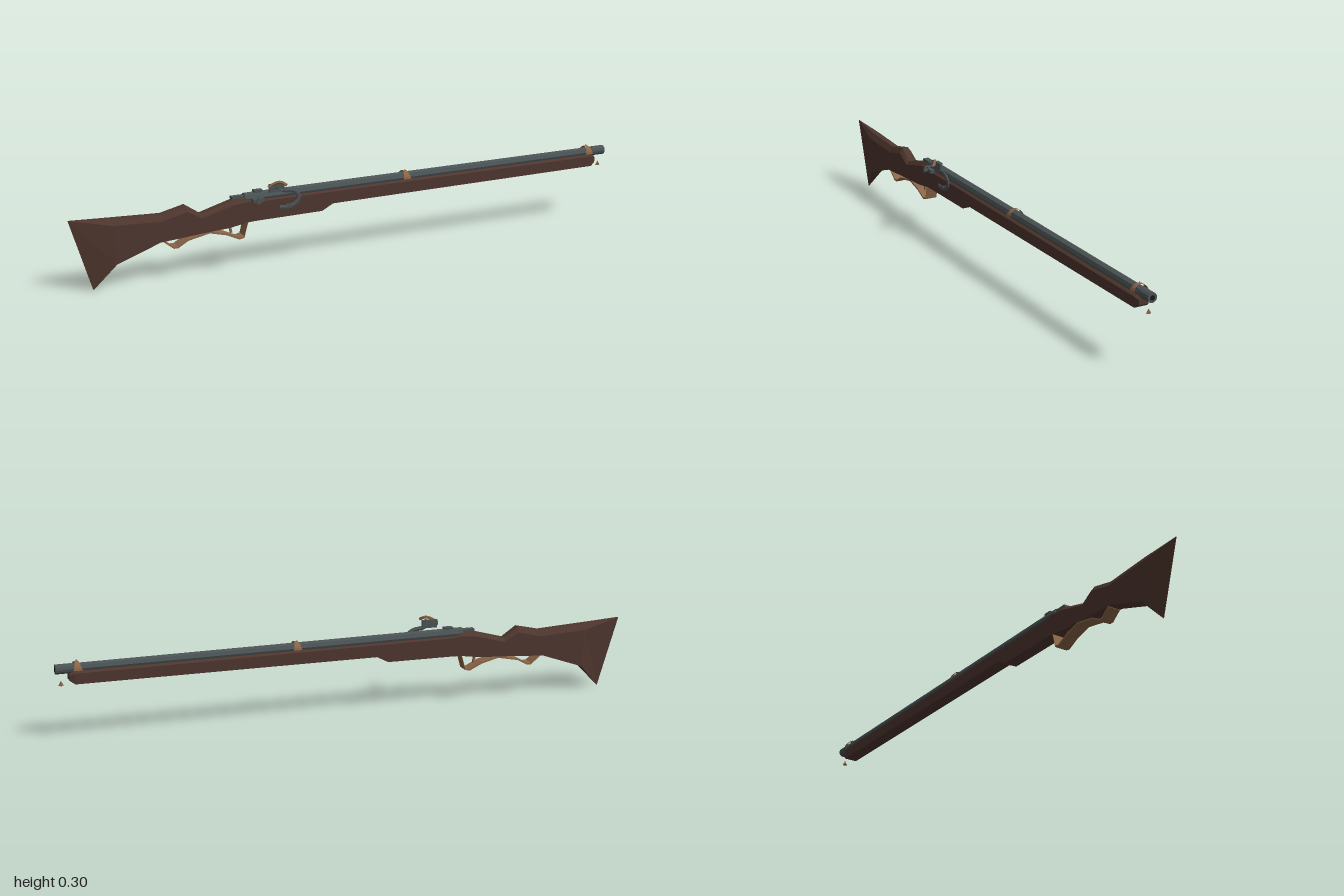
import * as THREE from 'three';

const CZ = -0.028; // centre plane of the gun
const mat = (color) => new THREE.MeshStandardMaterial({ color, flatShading: true });
const wood = mat(0x4e362e), steel = mat(0x4b5254), brass = mat(0x8c6648);
brass.side = THREE.DoubleSide;

// Lofts closed rings (lists of [x, y, z]) ordered along +x, with capped ends
function loft(rings) {
  const n = rings[0].length, idx = [];
  for (let i = 0; i < rings.length - 1; i++) {
    for (let j = 0; j < n; j++) {
      const a = i * n + j, b = i * n + (j + 1) % n;
      idx.push(a, b, b + n, a, b + n, a + n);
    }
  }
  const last = (rings.length - 1) * n;
  for (let j = 1; j < n - 1; j++) idx.push(0, j + 1, j, last, last + j, last + j + 1);
  const g = new THREE.BufferGeometry();
  g.setAttribute('position', new THREE.Float32BufferAttribute(rings.flat(2), 3));
  g.setIndex(idx);
  const flat = g.toNonIndexed();
  flat.computeVertexNormals();
  return flat;
}

export function createModel() {
  const root = new THREE.Group();
  const add = (name, geo, material, x = 0, y = 0, z = 0, parent = root) => {
    const m = new THREE.Mesh(geo, material);
    m.name = name;
    m.position.set(x, y, z);
    parent.add(m);
    return m;
  };
  const alongX = (r1, r2, len, sides) => new THREE.CylinderGeometry(r1, r2, len, sides).rotateZ(-Math.PI / 2);
  const alongZ = (r1, r2, len, sides) => new THREE.CylinderGeometry(r1, r2, len, sides).rotateX(Math.PI / 2);

  // Stock stations: top x, top y, bottom x, bottom y, half width, top chamfer
  const stations = [
    [-1.0, 0.246, -0.925, 0.003, 0.001, 0.001],
    [-0.86, 0.236, -0.85, 0.085, 0.023, 0.02],
    [-0.69, 0.228, -0.70, 0.138, 0.023, 0.02],
    [-0.607, 0.247, -0.60, 0.145, 0.023, 0.018],
    [-0.555, 0.212, -0.55, 0.149, 0.023, 0.012],
    [-0.44, 0.244, -0.46, 0.154, 0.023, 0.014],
    [-0.39, 0.248, -0.39, 0.165, 0.023, 0.014],
    [-0.36, 0.238, -0.36, 0.166, 0.023, 0.008],
    [-0.125, 0.238, -0.125, 0.168, 0.023, 0.008],
    [-0.085, 0.238, -0.085, 0.189, 0.023, 0.008],
    [0.94, 0.237, 0.94, 0.194, 0.023, 0.008],
    [0.957, 0.23, 0.957, 0.206, 0.017, 0.008],
  ];
  add('stock', loft(stations.map(([xt, yt, xb, yb, w, c]) => {
    const k = c / (yt - yb), xs = xt + (xb - xt) * k;
    return [
      [xb, yb, CZ + w], [xb, yb, CZ - w], [xs, yt - c, CZ - w],
      [xt, yt, CZ - w * 0.45], [xt, yt, CZ + w * 0.45], [xs, yt - c, CZ + w],
    ];
  })), wood);

  // Barrel with a stepped muzzle and dark bore
  const barrelY = 0.243;
  add('barrel', alongX(0.016, 0.018, 1.37, 8), steel, 0.285, barrelY, CZ);
  add('muzzle', alongX(0.0165, 0.0165, 0.05, 12), steel, 0.975, barrelY, CZ);
  add('bore', new THREE.CircleGeometry(0.009, 8).rotateY(Math.PI / 2), mat(0x181818), 1.0005, barrelY, CZ);
  add('breechTang', new THREE.BoxGeometry(0.06, 0.008, 0.02), steel, -0.415, 0.25, CZ);
  add('rearSight', new THREE.BoxGeometry(0.03, 0.012, 0.018), steel, -0.35, 0.26, CZ);

  // Barrel bands, arched over the barrel
  for (const x of [0.195, 0.93]) {
    const band = new THREE.CylinderGeometry(0.0255, 0.0255, 0.03, 10, 1, true, 0, Math.PI);
    band.rotateZ(Math.PI / 2).rotateX(0);
    const pos = band.attributes.position;
    // Bring the open half to the underside and pinch the lower hem
    for (let i = 0; i < pos.count; i++) {
      const y = Math.abs(pos.getY(i));
      pos.setY(i, y);
      pos.setX(i, pos.getX(i) * (0.45 + 22 * (0.0255 - y)));
    }
    band.computeVertexNormals();
    add('barrelBand', band, brass, x, 0.239, CZ);
  }
  add('frontSight', new THREE.ConeGeometry(0.005, 0.01, 4), brass, 0.93, 0.267, CZ);
  add('ramrodTip', new THREE.ConeGeometry(0.009, 0.016, 4), brass, 0.982, 0.196, CZ);

  // Trigger guard: a wide ribbon following the underside
  const guard = [
    [-0.69, 0.14], [-0.655, 0.113], [-0.64, 0.113], [-0.605, 0.133], [-0.53, 0.148],
    [-0.47, 0.133], [-0.425, 0.112], [-0.408, 0.116], [-0.395, 0.162],
  ];
  add('triggerGuard', loft(guard.map(([x, y]) => [
    [x, y - 0.003, CZ + 0.022], [x, y - 0.003, CZ - 0.022],
    [x, y + 0.003, CZ - 0.022], [x, y + 0.003, CZ + 0.022],
  ])), brass);
  const trigger = add('trigger', new THREE.BoxGeometry(0.007, 0.035, 0.008), brass, -0.45, 0.148, CZ);
  trigger.rotation.z = 0.2;

  // Matchlock mechanism on the front side
  const lock = new THREE.Group();
  lock.name = 'lock';
  root.add(lock);
  const arm = new THREE.CatmullRomCurve3([
    [-0.285, 0.204], [-0.25, 0.203], [-0.222, 0.216], [-0.215, 0.238],
    [-0.235, 0.256], [-0.27, 0.262], [-0.295, 0.275], [-0.325, 0.274],
  ].map(([x, y]) => new THREE.Vector3(x, y, 0)));
  const armGeo = new THREE.TubeGeometry(arm, 20, 0.008, 6);
  armGeo.scale(1, 1, 0.6);
  add('serpentine', armGeo, steel, 0, 0, 0.004, lock);
  add('serpentineHead', new THREE.BoxGeometry(0.055, 0.028, 0.008), steel, -0.295, 0.274, 0.004, lock);
  add('pivot', alongZ(0.008, 0.008, 0.022, 6), steel, -0.25, 0.205, -0.003, lock);
  add('screwShaft', alongZ(0.003, 0.003, 0.034, 6), steel, -0.297, 0.276, 0.018, lock);
  const screwHead = new THREE.OctahedronGeometry(0.012);
  screwHead.scale(1, 0.4, 1.1);
  add('thumbScrew', screwHead, steel, -0.297, 0.276, 0.042, lock);

  // Match cord curling out of the jaw
  const cord = new THREE.CatmullRomCurve3([
    new THREE.Vector3(-0.325, 0.278, 0.004), new THREE.Vector3(-0.305, 0.29, 0.009),
    new THREE.Vector3(-0.285, 0.295, 0.018), new THREE.Vector3(-0.27, 0.286, 0.032),
  ]);
  add('matchCord', new THREE.TubeGeometry(cord, 8, 0.005, 5), brass, 0, 0, 0, lock);

  // Flash pan with its cover knob
  add('flashPan', new THREE.BoxGeometry(0.04, 0.012, 0.016), steel, -0.36, 0.238, 0.0, lock);
  add('panSpout', alongZ(0.009, 0.004, 0.016, 6), steel, -0.365, 0.238, 0.014, lock);
  add('panKnob', new THREE.ConeGeometry(0.006, 0.014, 4), steel, -0.365, 0.252, 0.014, lock);

  return root;
}
